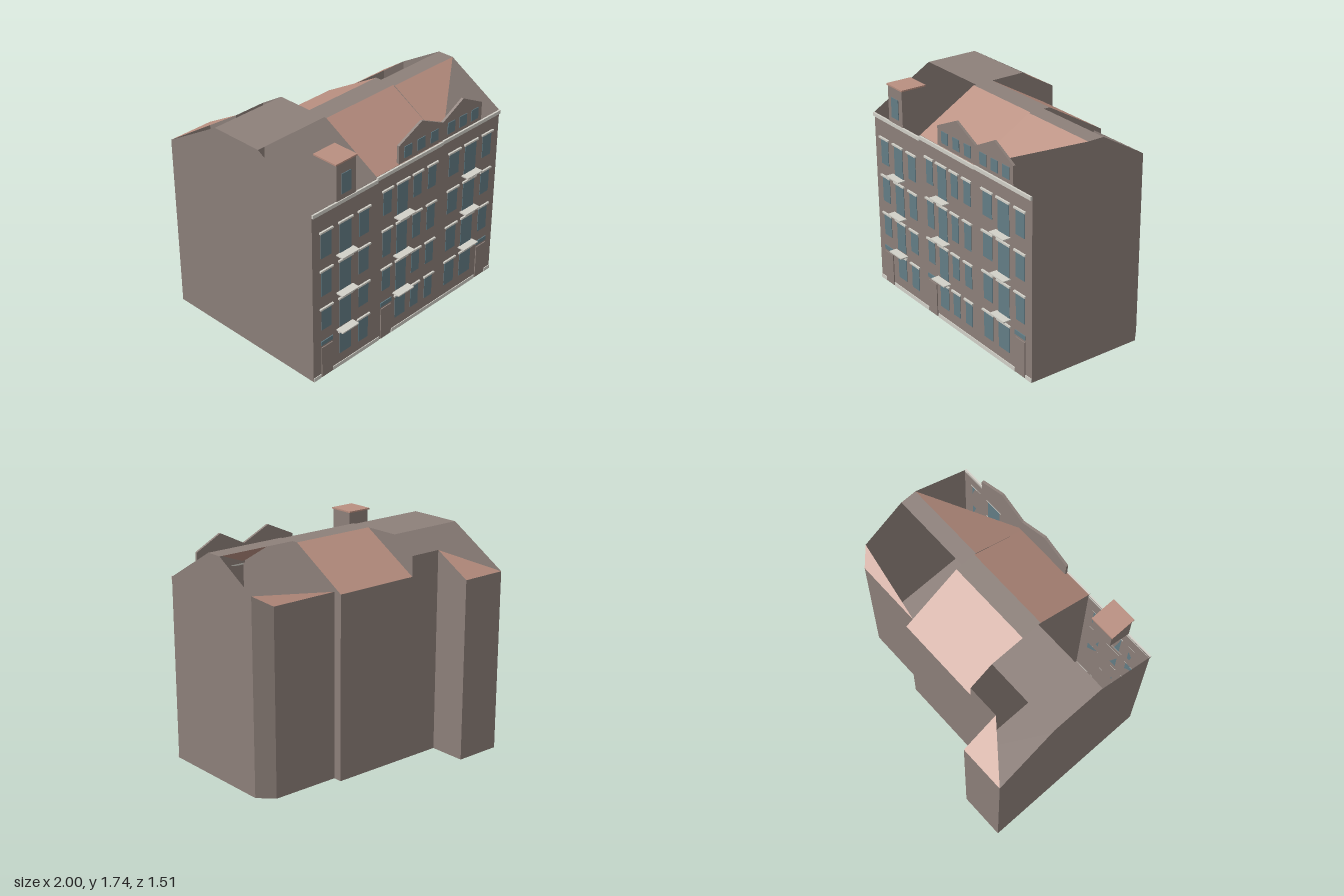
import * as THREE from 'three';

export function createModel() {
  const model = new THREE.Group();
  const mat = (name, color) => {
    const m = new THREE.MeshStandardMaterial({ color, side: THREE.DoubleSide });
    m.name = name;
    return m;
  };
  const wall = mat('wall render', 0x8d807a);
  const tile = mat('roof tile', 0xb98f80);
  const glass = mat('window glass', 0x637d86);
  const trim = mat('pale trim', 0xd2d0c8);

  const add = (name, geo, material, parent = model) => {
    const m = new THREE.Mesh(geo, material);
    m.name = name;
    parent.add(m);
    return m;
  };
  // flat convex panel from its corners
  const panel = (name, pts, material, parent) => {
    const v = [];
    for (let i = 1; i < pts.length - 1; i++) v.push(...pts[0], ...pts[i], ...pts[i + 1]);
    const g = new THREE.BufferGeometry();
    g.setAttribute('position', new THREE.Float32BufferAttribute(v, 3));
    g.computeVertexNormals();
    return add(name, g, material, parent);
  };
  // box from its limits
  const block = (name, x0, x1, y0, y1, z0, z1, material, parent) => {
    const g = new THREE.BoxGeometry(x1 - x0, y1 - y0, z1 - z0);
    g.translate((x0 + x1) / 2, (y0 + y1) / 2, (z0 + z1) / 2);
    return add(name, g, material, parent);
  };
  const F = 0.69, L = -0.36, R = 0.34, T = 1.735;

  // ---- Shared shell pieces: gable ends, front wall, flat ridge
  const gable = (parent, x, profile) =>
    panel('gableWall', profile.map(([z, y]) => [x, y, z]), wall, parent);
  const wallRun = (parent, pts) => {
    for (let i = 0; i < pts.length - 1; i++) {
      const [x0, z0, h0] = pts[i], [x1, z1, h1] = pts[i + 1];
      panel('outerWall', [[x0, 0, z0], [x1, 0, z1], [x1, h1, z1], [x0, h0, z0]], wall, parent);
    }
  };
  const level = (name, parent, x0, x1, z0, z1, y) =>
    panel(name, [[x0, y, z1], [x1, y, z1], [x1, y, z0], [x0, y, z0]], wall, parent);
  const house = (name) => {
    const g = new THREE.Group();
    g.name = name;
    model.add(g);
    return g;
  };

  // ---- House at -x, with rear wing and open roof slopes
  const a = house('wingHouse');
  gable(a, -1, [[F, 0], [F, 1.44], [0.18, T], [-0.26, T], [-0.76, 1.44], [-0.76, 0]]);
  gable(a, L, [[F, 0], [F, 1.44], [0.18, T], [-0.26, T], [-0.46, 1.61], [-0.46, 0]]);
  wallRun(a, [[-1, F, 1.44], [L, F, 1.44]]);
  wallRun(a, [[L, -0.46, 1.61], [-0.625, -0.46, 1.61], [-0.625, -0.76, 1.44], [-1, -0.76, 1.44]]);
  level('flatRidge', a, -1, L, -0.26, 0.18, T);
  level('floor', a, -1, L, -0.46, F, 0);
  level('floor', a, -1, -0.625, -0.76, -0.46, 0);
  panel('rearRoof', [[-0.625, 1.44, -0.76], [-1, 1.44, -0.76], [-0.625, 1.61, -0.46]], tile, a);

  // ---- Middle house
  const b = house('middleHouse');
  const midProfile = [[F, 0], [F, 1.455], [0.2, T], [0.03, T], [-0.46, 1.45], [-0.46, 0]];
  gable(b, L + 0.001, midProfile);
  gable(b, R - 0.001, midProfile);
  wallRun(b, [[L, F, 1.455], [R, F, 1.455]]);
  wallRun(b, [[R, -0.46, 1.45], [L, -0.46, 1.45]]);
  level('flatRidge', b, L, R, 0.03, 0.2, T);
  level('floor', b, L, R, -0.46, F, 0);
  panel('frontRoof', [[L, 1.455, F], [R, 1.455, F], [R, T, 0.2], [L, T, 0.2]], tile, b);
  panel('rearRoof', [[R, 1.45, -0.46], [L, 1.45, -0.46], [L, T, 0.03], [R, T, 0.03]], tile, b);

  // ---- House at +x, with a clipped rear corner and half-covered roof
  const c = house('cornerHouse');
  gable(c, 1, [[F, 0], [F, 1.455], [0.215, T], [0.08, T], [-0.28, 1.525], [-0.28, 0]]);
  gable(c, R, [[F, 0], [F, 1.455], [0.215, T], [0.08, T], [-0.39, 1.455], [-0.39, 0]]);
  wallRun(c, [[R, F, 1.455], [1, F, 1.455]]);
  wallRun(c, [[1, -0.28, 1.525], [0.89, -0.39, 1.455], [R, -0.39, 1.455]]);
  level('flatRidge', c, R, 1, 0.08, 0.215, T);
  panel('floor', [[R, 0, F], [1, 0, F], [1, 0, -0.28], [0.89, 0, -0.39], [R, 0, -0.39]], wall, c);
  panel('frontRoof', [[R, 1.455, F], [1, T, 0.215], [R, T, 0.215]], tile, c);
  panel('rearRoof', [[0.89, 1.455, -0.39], [R, 1.455, -0.39], [1, 1.525, -0.28]], tile, c);

  // ---- Cornices and plinths
  for (const [x0, x1, y] of [[-1, L, 1.41], [L, R, 1.425], [R, 1, 1.43]])
    block('cornice', x0, x1, y, y + 0.028, F, 0.705, trim);
  for (const [x0, x1] of [[-1, -0.925], [-0.805, -0.31], [-0.175, 0.805], [0.93, 1]])
    block('plinth', x0, x1, 0, 0.032, F, 0.696, trim);

  // ---- Windows with lintels; each column: centre, width, [bottom, top] per storey
  const columns = [
    [-0.867, 0.1, [[1.04, 1.25], [0.72, 0.93], [0.425, 0.605]]],
    [-0.675, 0.115, [[1.0, 1.25], [0.68, 0.93], [0.36, 0.605], [0.115, 0.31]]],
    [-0.487, 0.1, [[1.04, 1.25], [0.72, 0.93], [0.425, 0.605], [0.11, 0.31]]],
    [-0.245, 0.085, [[1.1, 1.3], [0.74, 0.965], [0.44, 0.63]]],
    [-0.083, 0.11, [[1.04, 1.3], [0.7, 0.965], [0.37, 0.63], [0.115, 0.315]]],
    [0.078, 0.085, [[1.11, 1.3], [0.75, 0.965], [0.44, 0.63], [0.12, 0.315]]],
    [0.238, 0.085, [[1.11, 1.3], [0.75, 0.965], [0.44, 0.63], [0.12, 0.315]]],
    [0.485, 0.11, [[1.11, 1.305], [0.78, 0.98], [0.44, 0.655], [0.12, 0.335]]],
    [0.675, 0.13, [[1.05, 1.305], [0.725, 0.98], [0.4, 0.655], [0.12, 0.335]]],
    [0.867, 0.1, [[1.11, 1.305], [0.78, 0.98], [0.44, 0.655]]],
  ];
  for (const [x, w, rows] of columns)
    for (const [y0, y1] of rows) {
      block('window', x - w / 2, x + w / 2, y0, y1, F, 0.694, glass);
      block('lintel', x - w / 2 - 0.015, x + w / 2 + 0.015, y1, y1 + 0.014, F, 0.705, trim);
    }

  // ---- Balcony slabs
  for (const [x, ys] of [[-0.68, [0.995, 0.67, 0.345]], [-0.083, [1.03, 0.695, 0.358]], [0.67, [1.05, 0.725, 0.4]]])
    for (const y of ys) block('balcony', x - 0.085, x + 0.085, y - 0.005, y + 0.005, F, 0.755, trim);

  // ---- Doors with transom windows
  for (const [x, y] of [[-0.865, 0.29], [-0.242, 0.3], [0.868, 0.315]]) {
    block('door', x - 0.055, x + 0.055, 0.005, y - 0.02, F, 0.698, wall);
    block('transom', x - 0.06, x + 0.06, y, y + 0.035, F, 0.697, glass);
  }

  // ---- Tall dormer, its underside following the roof pitch
  const side = new THREE.Shape([[0.7, 1.44], [0.7, 1.73], [0.5, 1.73], [0.5, 1.55]]
    .map(([z, y]) => new THREE.Vector2(-z, y)));
  const dormer = new THREE.ExtrudeGeometry(side, { depth: 0.19, bevelEnabled: false });
  dormer.rotateY(Math.PI / 2).translate(-0.77, 0, 0);
  add('dormer', dormer, wall);
  block('dormerRoof', -0.782, -0.573, 1.728, 1.74, 0.49, 0.705, tile);
  block('dormerWindow', -0.725, -0.63, 1.485, 1.645, 0.7, 0.705, glass);

  // ---- Twin-peaked parapet with small windows
  const peaks = new THREE.Shape([[-0.13, 1.45], [0.785, 1.45], [0.785, 1.605], [0.565, 1.718],
    [0.343, 1.605], [0.11, 1.715], [-0.13, 1.605]].map(([x, y]) => new THREE.Vector2(x, y)));
  const parapet = new THREE.ExtrudeGeometry(peaks, { depth: 0.02, bevelEnabled: false });
  parapet.translate(0, 0, 0.668);
  add('twinParapet', parapet, wall);
  for (const x of [-0.035, 0.107, 0.25, 0.437, 0.57, 0.703])
    block('parapetWindow', x - 0.04, x + 0.04, 1.488, 1.58, 0.688, 0.693, glass);

  return model;
}
